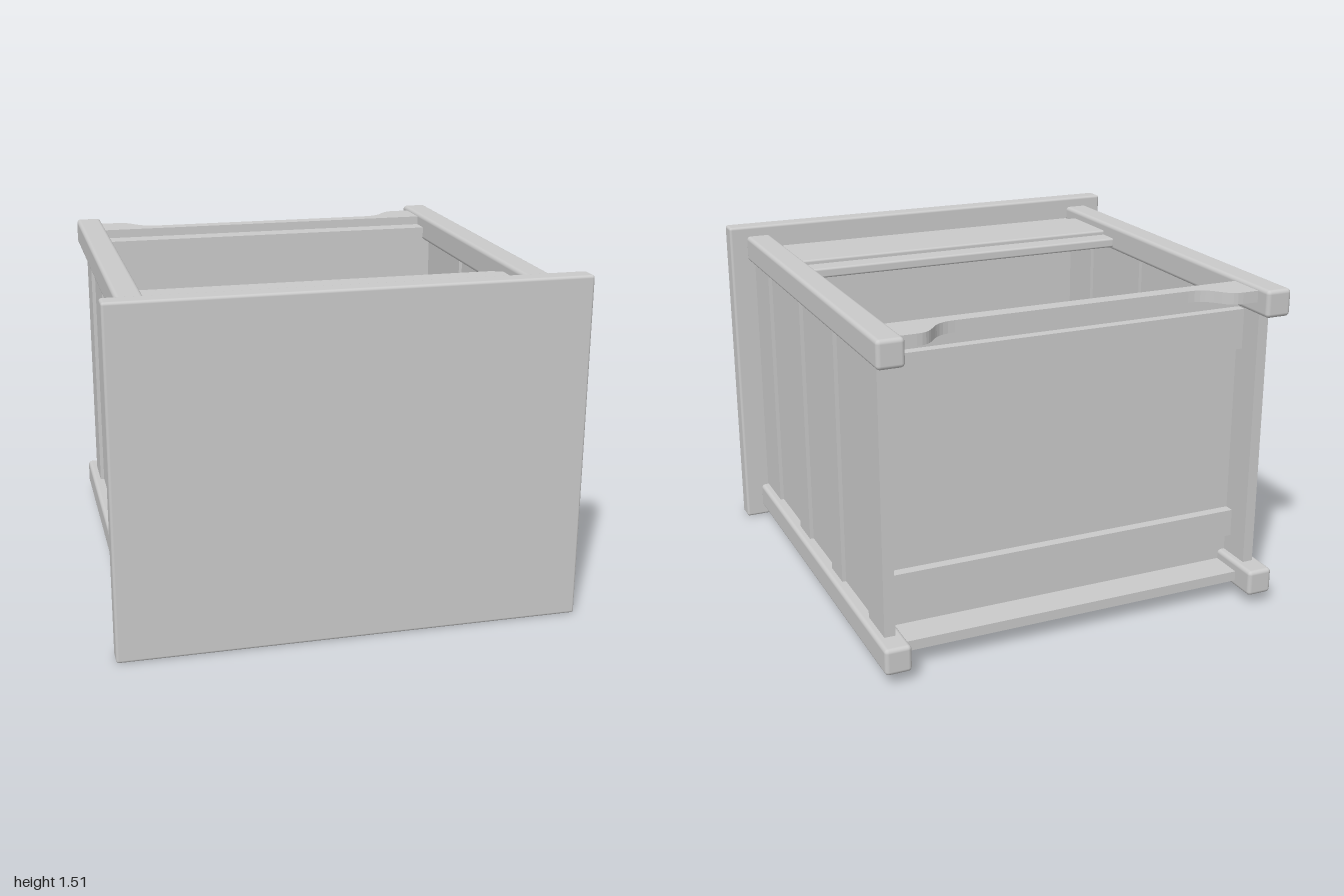
import * as THREE from 'three';
import { RoundedBoxGeometry } from 'three/addons/geometries/RoundedBoxGeometry.js';

const wood = new THREE.MeshStandardMaterial({ color: 0xcacaca });
wood.name = 'plain grey';

// Box given by its extents; a radius rounds its edges.
function board(parent, name, [x0, x1], [y0, y1], [z0, z1], radius = 0) {
  const size = [x1 - x0, y1 - y0, z1 - z0];
  const geometry = radius
    ? new RoundedBoxGeometry(...size, 3, radius)
    : new THREE.BoxGeometry(...size);
  const mesh = new THREE.Mesh(geometry, wood);
  mesh.name = name;
  mesh.position.set((x0 + x1) / 2, (y0 + y1) / 2, (z0 + z1) / 2);
  parent.add(mesh);
}

export function createModel() {
  const model = new THREE.Group();
  model.name = 'drawer';

  board(model, 'frontPanel', [-1, 1], [0, 1.51], [0.895, 0.985], 0.012);

  // Side walls: two rails, a thin panel and four slats standing proud on both faces
  const slats = [[0.66, 0.9], [0.155, 0.31], [-0.33, -0.18], [-0.878, -0.685]];
  for (const side of [-1, 1]) {
    const wall = new THREE.Group();
    wall.name = side > 0 ? 'leftWall' : 'rightWall';
    const span = (a, b) => (side > 0 ? [a, b] : [-b, -a]);
    board(wall, 'lowerRail', span(0.803, 0.92), [0.05, 0.168], [-0.985, 0.9], 0.018);
    board(wall, 'upperRail', span(0.803, 0.92), [1.345, 1.465], [-0.985, 0.9], 0.018);
    board(wall, 'sidePanel', span(0.852, 0.868), [0.16, 1.355], [-0.86, 0.9]);
    for (const z of slats) board(wall, 'slat', span(0.837, 0.885), [0.16, 1.355], z);
    model.add(wall);
  }

  // Floor between the lower rails
  board(model, 'floor', [-0.81, 0.81], [0.08, 0.125], [-0.872, 0.9]);

  // Inset back wall with a top cap and two battens on its outer face
  board(model, 'backPanel', [-0.84, 0.84], [0.12, 1.37], [-0.72, -0.65]);
  board(model, 'backCap', [-0.81, 0.81], [1.36, 1.41], [-0.765, -0.64]);
  board(model, 'upperBackBatten', [-0.84, 0.84], [1.15, 1.33], [-0.765, -0.71]);
  board(model, 'lowerBackBatten', [-0.84, 0.84], [0.255, 0.38], [-0.765, -0.71]);

  // Cover behind the front panel: a raised board between two strips
  board(model, 'coverBoard', [-0.81, 0.81], [1.37, 1.425], [0.465, 0.79], 0.01);
  for (const z of [[0.365, 0.47], [0.785, 0.898]]) {
    board(model, 'coverStrip', [-0.81, 0.81], [1.36, 1.405], z, 0.01);
  }

  // Rear crosspiece, cut back in the middle with flowing curves (shape y becomes -z)
  const outline = new THREE.Shape();
  outline.moveTo(-0.81, 0.733);
  outline.lineTo(0.81, 0.733);
  outline.lineTo(0.81, 0.91);
  outline.lineTo(0.73, 0.91);
  outline.bezierCurveTo(0.63, 0.91, 0.66, 0.8, 0.53, 0.8);
  outline.lineTo(-0.53, 0.8);
  outline.bezierCurveTo(-0.66, 0.8, -0.63, 0.91, -0.73, 0.91);
  outline.lineTo(-0.81, 0.91);
  const plate = new THREE.ExtrudeGeometry(outline, { depth: 0.05, bevelEnabled: false, curveSegments: 12 });
  plate.rotateX(-Math.PI / 2);
  const crosspiece = new THREE.Mesh(plate, wood);
  crosspiece.name = 'rearCrosspiece';
  crosspiece.position.y = 1.4;
  model.add(crosspiece);

  return model;
}
